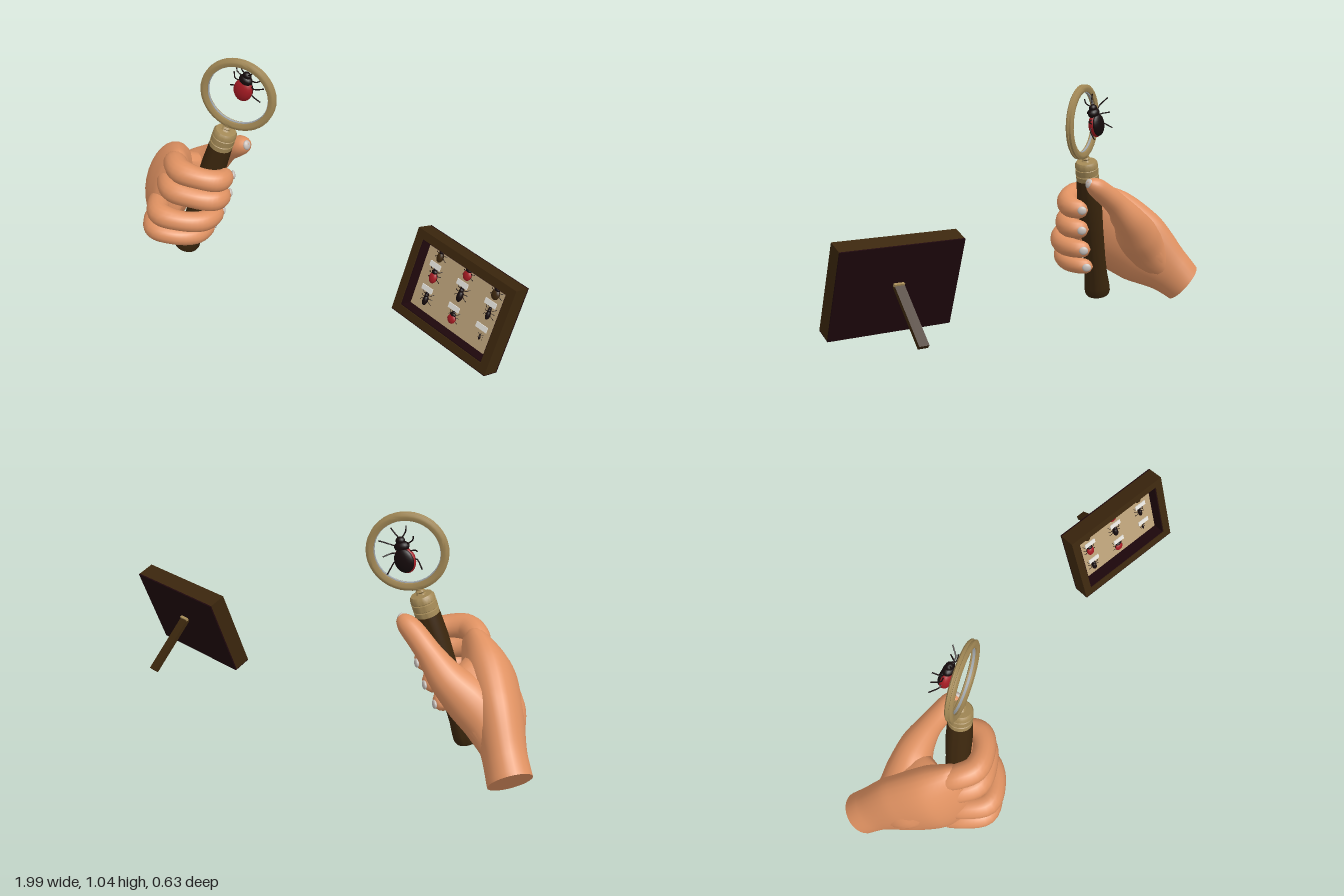
import * as THREE from 'three';
import { toCreasedNormals } from 'three/addons/utils/BufferGeometryUtils.js';

const V = (x, y, z) => new THREE.Vector3(x, y, z);
const mat = (name, color) => {
  const m = new THREE.MeshStandardMaterial({ color });
  m.name = name;
  return m;
};
const M = {
  skin: mat('skin', 0xe09262), wood: mat('dark wood', 0x3b260d), maroon: mat('maroon lining', 0x1e070c),
  brass: mat('brass', 0xa38956), felt: mat('tan felt', 0xb9a078), label: mat('white label', 0xe6e4de),
  red: mat('red shell', 0xa31a22), black: mat('black', 0x150a0b), nail: mat('nail', 0xc8c0bb),
  glass: mat('glass edge', 0xa3a9ae),
};

function add(parent, name, geo, material, x = 0, y = 0, z = 0) {
  const m = new THREE.Mesh(geo, material);
  m.name = name;
  m.position.set(x, y, z);
  parent.add(m);
  return m;
}

// Sweeps an ellipse along a spline; dims are half extents along u and v.
function sweep(points, dims, frame, n, seg, roundTip) {
  const path = new THREE.CatmullRomCurve3(points.map(p => V(...p)));
  const size = new THREE.CatmullRomCurve3(dims.map(d => V(d[0], d[1] ?? d[0], 0)));
  const pos = [], idx = [], rings = [];
  for (let i = 0; i <= n; i++) {
    const t = i / n, c = path.getPoint(t), s = size.getPoint(t);
    const k = t > 1 - roundTip ? Math.sqrt(Math.max(0.0004, 1 - ((t - 1 + roundTip) / roundTip) ** 2)) : 1;
    const [u, v] = frame(t, path.getTangent(t));
    const ring = [];
    for (let j = 0; j < seg; j++) {
      const a = j / seg * Math.PI * 2;
      ring.push(c.clone().addScaledVector(u, Math.cos(a) * s.x * k).addScaledVector(v, Math.sin(a) * s.y * k));
    }
    rings.push({ c, ring });
    ring.forEach(p => pos.push(p.x, p.y, p.z));
  }
  for (let i = 0; i < n; i++) for (let j = 0; j < seg; j++) {
    const a = i * seg + j, b = i * seg + (j + 1) % seg;
    idx.push(a, b, a + seg, b, b + seg, a + seg);
  }
  // flat end caps with their own vertices
  [rings[0], rings[n]].forEach(({ c, ring }, e) => {
    const o = pos.length / 3;
    pos.push(c.x, c.y, c.z);
    ring.forEach(p => pos.push(p.x, p.y, p.z));
    for (let j = 0; j < seg; j++) {
      const a = o + 1 + j, b = o + 1 + (j + 1) % seg;
      if (e) idx.push(o, a, b); else idx.push(o, b, a);
    }
  });
  const g = new THREE.BufferGeometry();
  g.setAttribute('position', new THREE.Float32BufferAttribute(pos, 3));
  g.setIndex(idx);
  g.computeVertexNormals();
  return g;
}

const frameFrom = ref => (t, tan) => {
  const u = ref.clone().addScaledVector(tan, -ref.dot(tan)).normalize();
  return [u, tan.clone().cross(u)];
};

function addNail(hand, name, at, facing, size) {
  const nail = add(hand, name, new THREE.SphereGeometry(1, 14, 10), M.nail, at.x, at.y, at.z);
  nail.scale.set(...size);
  nail.lookAt(at.clone().add(facing));
}

function makeHand() {
  const hand = new THREE.Group();
  hand.name = 'hand';
  // wrist and palm
  const u0 = V(0.17, -0.73, 0.66), u1 = V(-0.12, -0.96, 0.25), v = V(0.85, -0.23, -0.474);
  add(hand, 'palm', sweep(
    [[-0.915, 0.077, -0.235], [-0.875, 0.14, -0.18], [-0.805, 0.245, -0.065], [-0.735, 0.33, 0.04], [-0.66, 0.385, 0.125], [-0.62, 0.40, 0.155]],
    [[0.1, 0.092], [0.12, 0.09], [0.18, 0.105], [0.195, 0.11], [0.18, 0.075], [0.14, 0.045]],
    t => [u0.clone().lerp(u1, t).normalize(), v], 30, 28, 0.08), M.skin);
  // web of flesh joining the thumb to the index knuckle
  add(hand, 'thumbWeb', sweep(
    [[-0.87, 0.14, -0.17], [-0.78, 0.28, -0.075], [-0.71, 0.39, -0.025], [-0.635, 0.455, -0.005]],
    [[0.07, 0.06], [0.145, 0.095], [0.14, 0.075], [0.115, 0.04]], frameFrom(V(-0.3, 0.4, 0.87)), 24, 24, 0.15), M.skin);
  // four fingers wrapped round the handle: height, radius, reach, forward shift
  const curl = [[-0.17, -0.02, 0.06], [-0.14, 0.005, 0.125], [-0.08, 0.01, 0.195], [0.02, -0.005, 0.175],
    [0.088, -0.025, 0.11], [0.097, -0.035, 0.03], [0.055, -0.04, -0.02]];
  [['index', 0.505, 0.05, 0.75, 0.64], ['middle', 0.41, 0.05, 0.95, 0.72],
    ['ring', 0.31, 0.047, 0.95, 1], ['little', 0.222, 0.042, 0.8, 1]].forEach(([name, y, r, reach, depth]) => {
    const hx = -0.655 + 0.324 * (y - 0.03), hz = 0.08 - 0.103 * (y - 0.03);
    add(hand, name + 'Finger', sweep(
      curl.map(([a, b, c]) => [hx + (a > 0 ? a * reach : a), y + b, hz + (c > 0.04 ? c * depth : c)]),
      [1, 1.05, 1.08, 0.95, 0.98, 0.9, 0.8].map(k => [r * k]), frameFrom(V(0, 1, 0)), 30, 16, 0.12), M.skin);
    addNail(hand, name + 'Nail', V(hx + 0.084 * reach + r * 0.62, y - 0.037, hz + 0.004 - r * 0.48), V(0.77, 0, -0.6), [0.021, 0.019, 0.009]);
  });
  // thumb behind the handle
  add(hand, 'thumb', sweep(
    [[-0.905, 0.09, -0.225], [-0.80, 0.22, -0.125], [-0.70, 0.32, -0.11], [-0.60, 0.41, -0.12], [-0.51, 0.50, -0.1], [-0.43, 0.565, -0.07], [-0.36, 0.61, -0.05]],
    [[0.05], [0.093], [0.098], [0.075], [0.052], [0.047], [0.035]], frameFrom(V(0, 0, 1)), 34, 20, 0.12), M.skin);
  addNail(hand, 'thumbNail', V(-0.37, 0.6, -0.05), V(0.85, 0.2, 0.1), [0.02, 0.022, 0.012]);
  return hand;
}

function makeMagnifier() {
  const g = new THREE.Group();
  g.name = 'magnifier';
  const lathe = pts => toCreasedNormals(new THREE.LatheGeometry(pts.map(p => new THREE.Vector2(...p)), 40), 0.6);
  add(g, 'handle', lathe([[0, 0], [0.042, 0], [0.055, 0.006], [0.06, 0.02], [0.059, 0.05], [0.053, 0.11],
    [0.051, 0.2], [0.052, 0.35], [0.056, 0.5], [0.052, 0.61], [0, 0.61]]), M.wood);
  add(g, 'ferrule', lathe([[0, 0.605], [0.051, 0.605], [0.052, 0.632], [0.049, 0.634], [0.049, 0.637], [0.052, 0.639], [0.052, 0.664],
    [0.049, 0.666], [0.049, 0.669], [0.052, 0.671], [0.051, 0.688], [0.044, 0.698], [0.02, 0.7], [0.014, 0.706], [0.02, 0.713], [0.014, 0.72], [0.014, 0.74]]), M.brass);
  // grooved lens rim with a thin glass edge inside
  const rim = lathe([[0.135, -0.012], [0.15, -0.017], [0.158, -0.016], [0.166, -0.01], [0.166, -0.004], [0.161, -0.002],
    [0.161, 0.002], [0.166, 0.004], [0.166, 0.01], [0.158, 0.016], [0.15, 0.017], [0.135, 0.012], [0.135, -0.012]]);
  add(g, 'lensRim', rim.rotateX(Math.PI / 2), M.brass, 0, 0.889, 0);
  const edge = lathe([[0.132, -0.005], [0.136, -0.005], [0.136, 0.005], [0.132, 0.005], [0.132, -0.005]]);
  add(g, 'lensEdge', edge.rotateX(Math.PI / 2), M.glass, 0, 0.889, 0);
  // lean the tool along its axis
  const axis = V(0.273, 0.842, -0.087).normalize(), normal = V(0.205, 0.045, 0.97);
  const right = axis.clone().cross(normal).normalize();
  g.applyMatrix4(new THREE.Matrix4().makeBasis(right, axis, right.clone().cross(axis)));
  g.position.set(-0.648, 0.03, 0.077);
  return g;
}

// Beetle with its head towards +y and its back towards +z.
function makeBug(name, shell, width, size) {
  const g = new THREE.Group();
  g.name = name;
  const ball = (part, m, y, z, sx, sy, sz) =>
    add(g, part, new THREE.SphereGeometry(1, 16, 12), m, 0, y, z).scale.set(sx, sy, sz);
  ball('shell', shell, -0.15, -0.03, 0.32 * width, 0.39, 0.2);
  ball('belly', M.black, -0.14, -0.12, 0.3 * width, 0.36, 0.13);
  ball('thorax', M.black, 0.26, -0.02, 0.23 * width, 0.16, 0.17);
  ball('head', M.black, 0.43, -0.02, 0.14, 0.12, 0.12);
  const limb = (part, pts) => add(g, part,
    new THREE.TubeGeometry(new THREE.CatmullRomCurve3(pts.map(p => V(...p))), 7, 0.021, 5), M.black);
  for (const s of [-1, 1]) {
    for (const [y, dy] of [[0.28, 0.26], [0.1, 0.0], [-0.05, -0.32]])
      limb('leg', [[s * 0.1, y, -0.08], [s * 0.36, y + dy * 0.4, -0.03], [s * 0.46, y + dy * 0.8, -0.14], [s * 0.55, y + dy * 1.2, -0.27]]);
    limb('antenna', [[s * 0.05, 0.5, 0.03], [s * 0.17, 0.64, 0.1], [s * 0.24, 0.82, 0.08]]);
  }
  g.scale.setScalar(size);
  return g;
}

function makeCase() {
  const g = new THREE.Group();
  g.name = 'specimenCase';
  const W = 0.52, H = 0.38, D = 0.08, B = 0.036;
  const box = (name, m, w, h, d, x, y, z) => add(g, name, new THREE.BoxGeometry(w, h, d), m, x, y, z);
  box('backBoard', M.maroon, W, H, 0.006, 0, 0, -D / 2 + 0.003);
  box('feltPanel', M.felt, W - 2 * B, H - 2 * B, 0.014, 0, 0, -D / 2 + 0.013);
  // frame rails and their inner lining
  for (const s of [-1, 1]) {
    box('sideRail', M.wood, B, H, D - 0.006, s * (W - B) / 2, 0, 0.003);
    box('endRail', M.wood, W - 2 * B, B, D - 0.006, 0, s * (H - B) / 2, 0.003);
    box('sideLining', M.maroon, 0.004, H - 2 * B, 0.055, s * (W / 2 - B - 0.002), 0, 0.008);
    box('endLining', M.maroon, W - 2 * B, 0.004, 0.055, 0, s * (H / 2 - B - 0.002), 0.008);
  }
  box('undersidePlate', M.maroon, W, 0.003, D, 0, -H / 2 - 0.0015, 0);
  // three rows of pinned specimens with labels between the rows
  const kinds = [
    [M.wood, 0.75, 0.06], [M.red, 1.1, 0.056], [M.wood, 1, 0.058],
    [M.red, 0.9, 0.064], [M.black, 0.6, 0.066], [M.black, 0.55, 0.052],
    [M.black, 0.6, 0.058], [M.red, 1.2, 0.052], [M.black, 0.5, 0.025],
  ];
  kinds.forEach(([m, w, s], i) => {
    const row = Math.floor(i / 3), x = (i % 3 - 1) * 0.15;
    const bug = makeBug('specimen', m, w, s);
    bug.position.set(x, [0.112, 0.018, -0.09][row], -0.01);
    g.add(bug);
    if (row < 2) box('label', M.label, 0.056, 0.023, 0.004, x, [0.066, -0.043][row], 0);
  });
  // rear prop on a small hinge
  box('prop', M.wood, 0.042, 0.018, 0.28, 0, -0.038, -0.164).rotation.x = -0.43;
  box('propHinge', M.brass, 0.044, 0.012, 0.012, 0, 0.024, -0.046);
  g.position.set(0.717, 0.32, 0.128);
  g.rotation.set(-0.354, -0.358, 0, 'YXZ');
  return g;
}

export function createModel() {
  const model = new THREE.Group();
  model.name = 'insectStudy';
  const beetle = makeBug('beetle', M.red, 1, 0.138);
  beetle.position.set(-0.384, 0.88, -0.066);
  beetle.rotation.z = -0.3;
  model.add(makeHand(), makeMagnifier(), makeCase(), beetle);
  return model;
}
